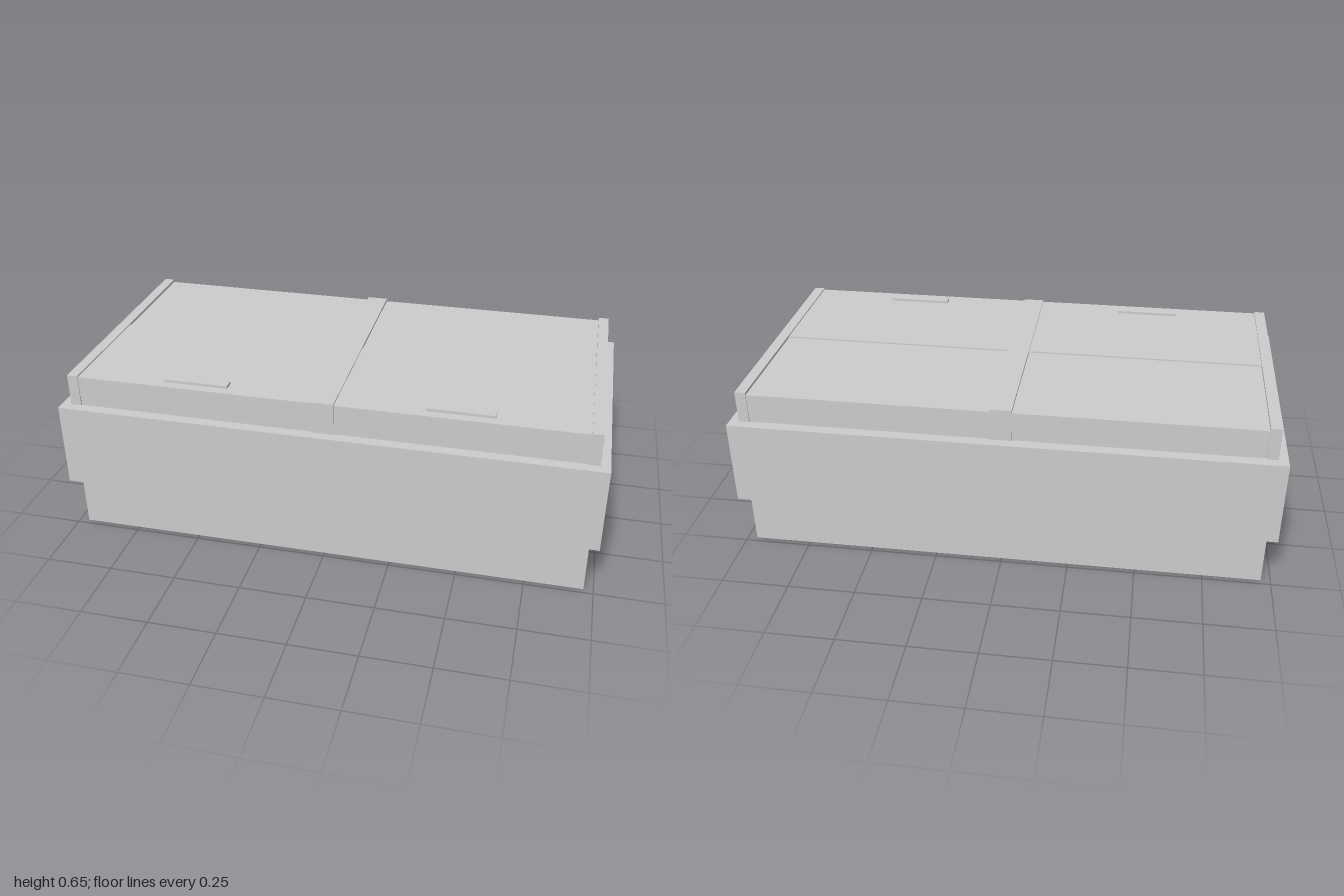
import * as THREE from 'three';

const material = new THREE.MeshStandardMaterial({ color: 0xcccccc });

// Box given by its limits on each axis
function slab(parent, name, [x0, x1], [y0, y1], [z0, z1]) {
  const mesh = new THREE.Mesh(new THREE.BoxGeometry(x1 - x0, y1 - y0, z1 - z0), material);
  mesh.position.set((x0 + x1) / 2, (y0 + y1) / 2, (z0 + z1) / 2);
  mesh.name = name;
  parent.add(mesh);
}

export function createModel() {
  const model = new THREE.Group();
  model.name = 'chestCabinet';

  // Recessed plinth, wide body and the narrower collar under the lids
  slab(model, 'plinth', [-0.965, 0.965], [0, 0.205], [-0.48, 0.48]);
  slab(model, 'body', [-1, 1], [0.205, 0.525], [-0.517, 0.517]);
  slab(model, 'collar', [-0.96, 0.96], [0.525, 0.56], [-0.475, 0.475]);

  // Rails at both ends and between the lids
  for (const [name, x0, x1] of [
    ['rightRail', -0.965, -0.925],
    ['centerRail', -0.04, 0.04],
    ['leftRail', 0.925, 0.965],
  ]) slab(model, name, [x0, x1], [0.525, 0.646], [-0.48, 0.48]);

  // Sliding lids: the front panel sits slightly above the back one
  for (const side of [-1, 1]) {
    const lid = new THREE.Group();
    lid.name = side < 0 ? 'rightLid' : 'leftLid';
    const span = side < 0 ? [-0.925, -0.04] : [0.04, 0.925];
    slab(lid, 'backPanel', span, [0.56, 0.636], [-0.477, 0]);
    slab(lid, 'frontPanel', span, [0.56, 0.641], [0, 0.477]);
    const x = side * 0.482;
    slab(lid, 'handle', [x - 0.12, x + 0.12], [0.641, 0.651], [0.402, 0.441]);
    model.add(lid);
  }
  return model;
}
